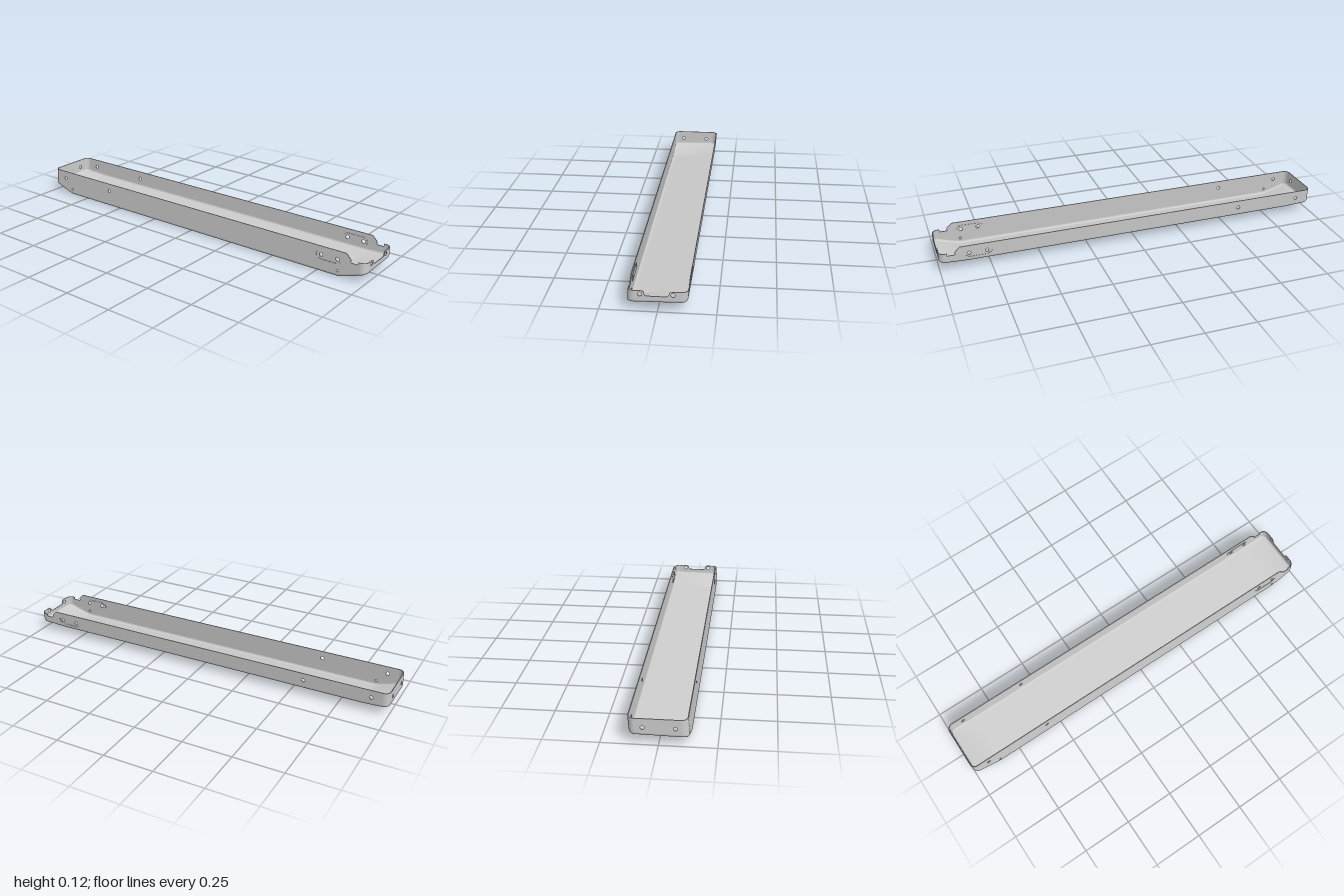
import * as THREE from 'three';
import { mergeVertices, mergeGeometries } from 'three/addons/utils/BufferGeometryUtils.js';

const T = 0.004;             // sheet thickness
const R = 0.03, BEND = 0.014; // plan corner radius, floor bend radius
const HW = 0.129, CZ = 0.005; // half width and centre before the lean
const TOP = 0.125, LOW = 0.098;
const LEAN = new THREE.Matrix4().set(1, 0, 0, 0, 0, 1, 0, 0, 0, -0.075, 1, 0, 0, 0, 0, 1);

// Floor height: slopes across the width and ramps up at both ends
function floorY(x, z) {
  const k = Math.max(0, Math.abs(x) - 0.86) / 0.14;
  return THREE.MathUtils.lerp((0.12 - z) * 0.165, 0.045, Math.pow(k, 1.2));
}

// Plan outline, counterclockwise from above, as straight edges and corners
const half = [0.97, 0.95, 0.93, 0.91, 0.89, 0.875, 0.86, 0.84, 0.5];
const xs = [...half.map(v => -v), 0, ...half.slice().reverse()];
const zs = Array.from({ length: 9 }, (_, i) => CZ + (HW - R) * (1 - i / 4));
function cornerPoints(sx, sz, start) {
  return Array.from({ length: 9 }, (_, i) => {
    const a = start - i / 8 * Math.PI / 2, nx = Math.cos(a), nz = Math.sin(a);
    return { x: sx * (1 - R) + nx * R, z: CZ + sz * (HW - R) + nz * R, nx, nz };
  });
}
const edges = {
  front: xs.map(x => ({ x, z: CZ + HW, nx: 0, nz: 1 })),
  right: zs.map(z => ({ x: 1, z, nx: 1, nz: 0 })),
  back: xs.slice().reverse().map(x => ({ x, z: CZ - HW, nx: 0, nz: -1 })),
  left: zs.slice().reverse().map(z => ({ x: -1, z, nx: -1, nz: 0 }))
};
const corners = [
  cornerPoints(1, 1, Math.PI / 2), cornerPoints(1, -1, 0),
  cornerPoints(-1, -1, -Math.PI / 2), cornerPoints(-1, 1, Math.PI)
];
const inset = (p, d) => [p.x - p.nx * d, p.z - p.nz * d];
const wallBottom = p => floorY(...inset(p, BEND)) + BEND;

// Smooth surface through rows of points
function grid(rows) {
  const n = rows[0].length, index = [];
  for (let j = 0; j < rows.length - 1; j++) {
    for (let i = 0; i < n - 1; i++) {
      const a = j * n + i, b = a + n;
      index.push(a, b, a + 1, a + 1, b, b + 1);
    }
  }
  let g = new THREE.BufferGeometry();
  g.setAttribute('position', new THREE.Float32BufferAttribute(rows.flat(2), 3));
  g.setIndex(index);
  g = mergeVertices(g, 1e-5);
  g.computeVertexNormals();
  return g;
}

// Floor skin with its rounded bend; th offsets it to the inside
function floorSkin(th) {
  const e = edges;
  const loop = [...e.front, ...corners[0], ...e.right, ...corners[1],
    ...e.back, ...corners[2], ...e.left, ...corners[3], e.front[0]];
  const rows = [];
  for (let j = 0; j <= 6; j++) {
    const a = j / 6 * Math.PI / 2;
    rows.push(loop.map(p => {
      const [x, z] = inset(p, BEND - (BEND - th) * Math.cos(a));
      return [x, wallBottom(p) - (BEND - th) * Math.sin(a), z];
    }));
  }
  for (let j = 1; j <= 6; j++) {
    rows.push(loop.map(p => {
      const [ex, ez] = inset(p, BEND), t = j / 6;
      const x = THREE.MathUtils.lerp(ex, THREE.MathUtils.clamp(ex, -0.84, 0.84), t);
      const z = THREE.MathUtils.lerp(ez, CZ, t);
      return [x, floorY(x, z) + th, z];
    }));
  }
  return grid(th ? rows.reverse() : rows);
}

// Rounded vertical corner with a closed rim
function cornerWall(points, top) {
  const row = (d, y) => points.map(p => {
    const [x, z] = inset(p, d);
    return [x, y ?? wallBottom(p), z];
  });
  const lines = [row(T), row(T, top), row(0, top), row(0)];
  return mergeGeometries([0, 1, 2].map(i => grid([lines[i], lines[i + 1]])));
}

// Flat plate from an outline with round or shaped holes
function plate(outline, holes) {
  const shape = new THREE.Shape(outline.map(p => new THREE.Vector2(...p)));
  for (const h of holes) {
    const path = new THREE.Path();
    if (Array.isArray(h[0])) path.setFromPoints(h.map(p => new THREE.Vector2(...p)));
    else path.absarc(h[0], h[1], h[2], 0, Math.PI * 2, true);
    shape.holes.push(path);
  }
  return new THREE.ExtrudeGeometry(shape, { depth: T, bevelEnabled: false, curveSegments: 10 });
}

export function createModel() {
  const group = new THREE.Group();
  const material = new THREE.MeshStandardMaterial({ color: 0xcccccc, side: THREE.DoubleSide });
  const add = (name, geometry) => {
    const mesh = new THREE.Mesh(geometry.applyMatrix4(LEAN), material);
    mesh.name = name;
    group.add(mesh);
  };

  add('floorOutside', floorSkin(0));
  add('floorInside', floorSkin(T));
  corners.forEach((c, i) => add('cornerWall', cornerWall(c, i < 2 ? LOW : TOP)));

  // Long walls with a hooked notch, holes and a recessed pad
  const sideTop = [[0.97, LOW], [0.96, LOW], [0.96, 0.085], [0.923, 0.085],
    [0.923, 0.1], [0.897, TOP], [-0.97, TOP]];
  const pad = [[0.742, 0.083], [0.745, 0.073], [0.765, 0.062], [0.855, 0.062], [0.872, 0.073],
    [0.875, 0.083], [0.872, 0.095], [0.857, 0.104], [0.765, 0.104], [0.745, 0.094]];
  for (const side of ['front', 'back']) {
    const front = side === 'front';
    const bottom = edges[side].map(p => [p.x, wallBottom(p)]).sort((a, b) => a[0] - b[0]);
    const holes = [[-0.915, 0.085, 0.009], [-0.573, 0.085, 0.009], pad];
    if (front) holes.push([-0.86, 0.03, 0.006], [0.86, 0.03, 0.006]);
    const z = front ? CZ + HW - T : CZ - HW;
    add(side + 'Wall', plate([...bottom, ...sideTop], holes).translate(0, 0, z));
    add(side + 'RecessedPad', plate(pad, [[0.768, 0.083, 0.009], [0.854, 0.083, 0.009]])
      .translate(0, 0, z + (front ? -0.002 : 0.002)));
  }

  // End walls: a low one with a central dip and a full height one
  const dip = [[0.104, LOW], [0.07, LOW], [0.064, 0.094], [0.062, 0.088],
    [0.06, 0.08], [0.056, 0.076], [0.05, 0.074]];
  const mirrored = dip.map(([z, y]) => [0.018 - z, y]).reverse();
  mirrored[mirrored.length - 1][0] = CZ - HW + R;
  const tops = { right: [...dip, ...mirrored], left: [[0.104, TOP], [-0.094, TOP]] };
  for (const side of ['right', 'left']) {
    const bottom = edges[side].map(p => [p.z, wallBottom(p)]).sort((a, b) => a[0] - b[0]);
    const geometry = plate([...bottom, ...tops[side]], [[0.079, 0.082, 0.009], [-0.061, 0.082, 0.009]]);
    geometry.rotateY(-Math.PI / 2).translate(side === 'right' ? 1 : -1 + T, 0, 0);
    add(side === 'right' ? 'lowEndWall' : 'tallEndWall', geometry);
  }
  return group;
}
